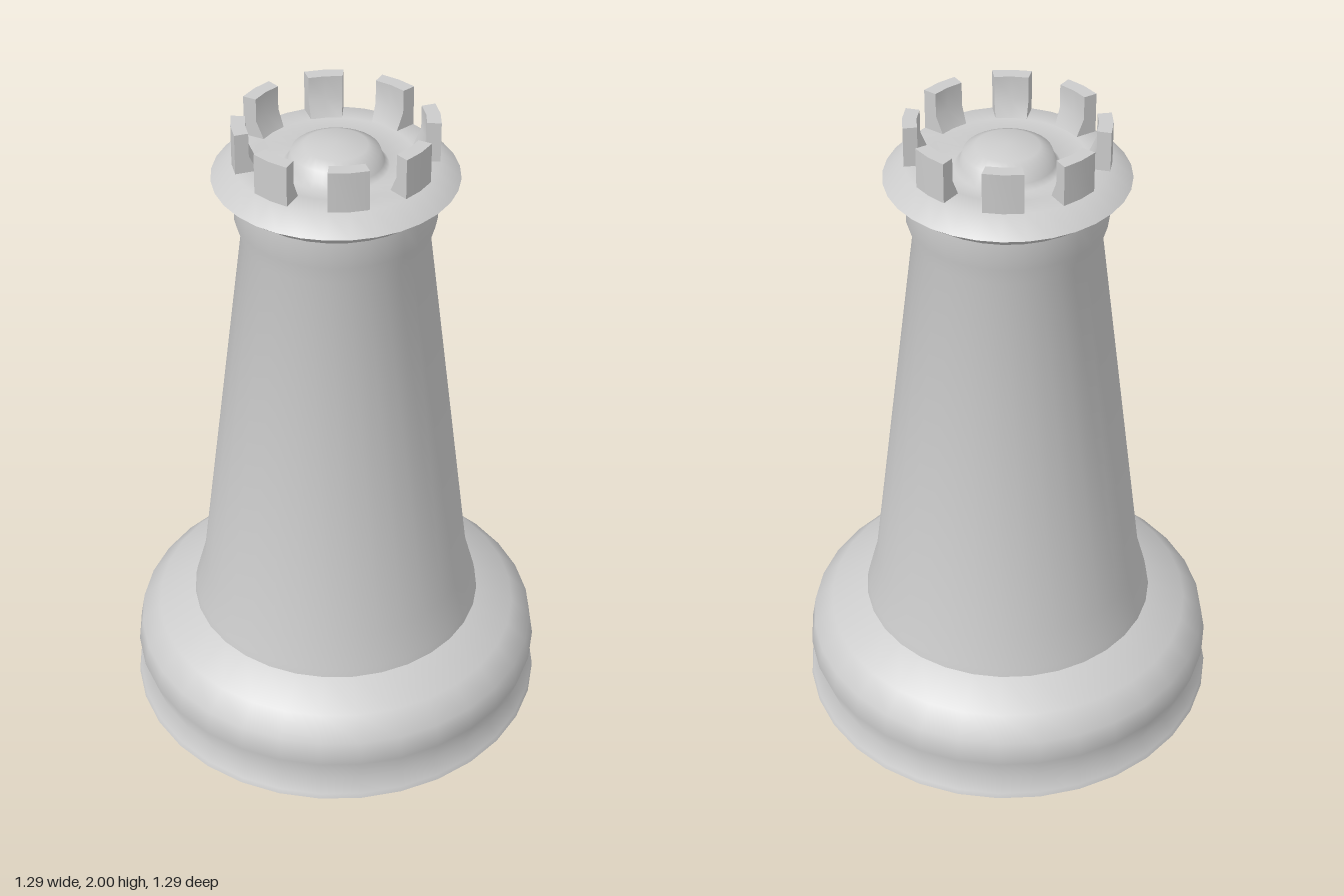
import * as THREE from 'three';
import { toCreasedNormals } from 'three/addons/utils/BufferGeometryUtils.js';

const SEGMENTS = 32;
const MERLONS = 8;
const STEP = (Math.PI * 2) / MERLONS;

const points = (list) => list.map(([r, y]) => new THREE.Vector2(r, y));

export function createModel() {
  const material = new THREE.MeshStandardMaterial({ color: 0xcccccc });
  const capMaterial = new THREE.MeshStandardMaterial({ color: 0xcccccc, side: THREE.DoubleSide });
  const model = new THREE.Group();
  model.name = 'rook';

  const addTurned = (name, profile, crease) => {
    const geometry = new THREE.LatheGeometry(points(profile), SEGMENTS);
    const mesh = new THREE.Mesh(toCreasedNormals(geometry, crease), material);
    mesh.name = name;
    model.add(mesh);
  };

  // Foot: flat underside, thin lip and rounded cushion
  addTurned('base', [
    [0, 0], [0.645, 0], [0.64, 0.015], [0.61, 0.055], [0.638, 0.14],
    [0.625, 0.215], [0.565, 0.275], [0.45, 0.325],
  ], 1.1);

  // Tapered tower with a flared bottom and a collar
  addTurned('tower', [
    [0.45, 0.325], [0.445, 0.35], [0.415, 0.46], [0.27, 1.64], [0.288, 1.7], [0.285, 1.78],
  ], 0.8);

  // Projecting flange, sunken floor and the low dome in its middle
  addTurned('crown', [
    [0.285, 1.78], [0.35, 1.83], [0.29, 1.88], [0.225, 1.88], [0.15, 1.86],
    [0.135, 1.875], [0.125, 1.905], [0.09, 1.922], [0, 1.93],
  ], 1.2);

  // Battlements: short turned segments closed by a cap at each end
  const section = points([[0.29, 1.87], [0.29, 2], [0.25, 2], [0.25, 1.93], [0.225, 1.875]]);
  const wall = toCreasedNormals(
    new THREE.LatheGeometry([...section, section[0]], 2, Math.PI / 2 - STEP / 2, STEP / 2), 0.6);
  const cap = new THREE.ShapeGeometry(new THREE.Shape(section));
  const battlements = new THREE.Group();
  battlements.name = 'battlements';
  for (let i = 0; i < MERLONS; i++) {
    const merlon = new THREE.Group();
    merlon.name = 'merlon';
    merlon.add(new THREE.Mesh(wall, material));
    for (const turn of [0, -STEP / 2]) {
      const end = new THREE.Mesh(cap, capMaterial);
      end.rotation.y = turn;
      merlon.add(end);
    }
    merlon.rotation.y = i * STEP;
    battlements.add(merlon);
  }
  model.add(battlements);

  return model;
}
